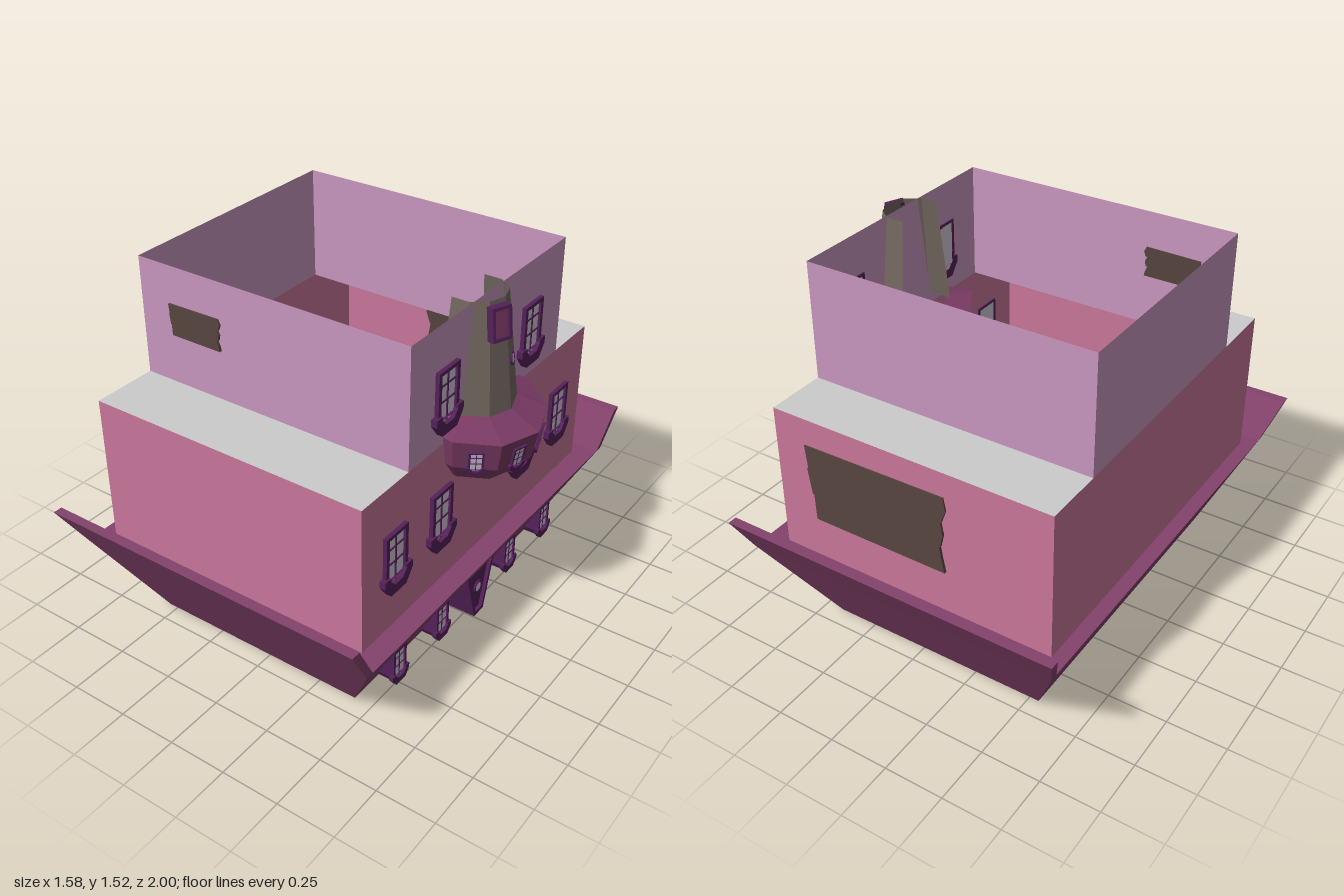
import * as THREE from 'three';

const mat = (color, side = THREE.FrontSide) =>
  new THREE.MeshStandardMaterial({ color, side, flatShading: true });
const M = {
  hull: mat(0x84426c), pink: mat(0xc8769a, THREE.DoubleSide), lilac: mat(0xc896be, THREE.DoubleSide),
  grey: mat(0xcccccc, THREE.DoubleSide), bowl: mat(0x7c3b66, THREE.DoubleSide),
  stone: mat(0x72665f, THREE.DoubleSide), frame: mat(0x55215a), glass: mat(0xd2c6d6), plank: mat(0x56443f),
};

function add(parent, name, geo, material, x = 0, y = 0, z = 0) {
  const m = new THREE.Mesh(geo, material);
  m.name = name;
  m.position.set(x, y, z);
  parent.add(m);
  return m;
}

// Skin through rings of [x,y,z], listed bottom to top, each anticlockwise from above
function loft(rings, { closed = true, caps = true } = {}) {
  const pos = [], n = rings[0].length;
  const tri = (a, b, c) => pos.push(...a, ...b, ...c);
  for (let r = 0; r + 1 < rings.length; r++) {
    const a = rings[r], b = rings[r + 1];
    for (let i = 0; i < (closed ? n : n - 1); i++) {
      const j = (i + 1) % n;
      tri(a[i], a[j], b[j]);
      tri(a[i], b[j], b[i]);
    }
  }
  if (closed && caps) {
    const lo = rings[0], hi = rings[rings.length - 1];
    for (let i = 1; i + 1 < n; i++) {
      tri(lo[0], lo[i + 1], lo[i]);
      tri(hi[0], hi[i], hi[i + 1]);
    }
  }
  const g = new THREE.BufferGeometry();
  g.setAttribute('position', new THREE.Float32BufferAttribute(pos, 3));
  g.computeVertexNormals();
  return g;
}

const rect = (x0, x1, z0, z1, y) => [[x1, y, z1], [x1, y, z0], [x0, y, z0], [x0, y, z1]];

function extrude(points, depth, hole) {
  const s = new THREE.Shape(points.map(p => new THREE.Vector2(...p)));
  if (hole) s.holes.push(new THREE.Path(hole.map(p => new THREE.Vector2(...p))));
  return new THREE.ExtrudeGeometry(s, { depth, bevelEnabled: false });
}

// Turn a part that faces +z so it faces outward at angle t around the tower
function face(obj, t = 0, lean = 0) {
  obj.rotation.order = 'YXZ';
  obj.rotation.set(lean, Math.PI / 2 + t, 0);
  return obj;
}

// Paned window with a faceted sill; origin at the top middle
function makeWindow(name, scale, housing = 0) {
  const g = new THREE.Group();
  g.name = name;
  const pane = [[-0.052, -0.012], [-0.052, -0.19], [-0.026, -0.222], [0.026, -0.222], [0.052, -0.19], [0.052, -0.012]];
  add(g, 'glass', extrude(pane, 0.012), M.glass);
  add(g, 'windowFrame', extrude([[-0.068, 0], [-0.068, -0.2], [0.068, -0.2], [0.068, 0]], 0.022,
    [[-0.05, -0.015], [0.05, -0.015], [0.05, -0.2 + 0.001], [-0.05, -0.2 + 0.001]]), M.frame);
  add(g, 'sill', extrude([[-0.088, -0.175], [-0.088, -0.205], [-0.048, -0.258], [0.048, -0.258], [0.088, -0.205],
    [0.088, -0.175], [0.05, -0.175], [0.05, -0.19], [0.025, -0.218], [-0.025, -0.218], [-0.05, -0.19], [-0.05, -0.175]],
  0.03), M.frame);
  add(g, 'mullion', new THREE.BoxGeometry(0.007, 0.2, 0.008), M.frame, 0, -0.115, 0.012);
  for (const y of [-0.065, -0.13])
    add(g, 'glazingBar', new THREE.BoxGeometry(0.1, 0.006, 0.008), M.frame, 0, y, 0.012);
  if (housing) {
    add(g, 'housing', extrude([[-0.068, 0], [-0.068, -0.2], [-0.04, -0.25], [0.04, -0.25], [0.068, -0.2], [0.068, 0]],
      housing), M.frame, 0, 0, -housing);
  }
  g.scale.setScalar(scale);
  return g;
}

function porthole(r) {
  const g = new THREE.Group();
  g.name = 'porthole';
  add(g, 'portholeRing', new THREE.TorusGeometry(r, r * 0.22, 6, 12), M.frame);
  add(g, 'portholeGlass', new THREE.CircleGeometry(r, 12), M.glass, 0, 0, 0.003);
  return g;
}

// Three ragged overlapping boards
function planks(name, w, h) {
  const g = new THREE.Group();
  g.name = name;
  const ends = [[0.5, 0.47, -0.5, -0.48], [0.48, 0.46, -0.49, -0.46], [0.47, 0.49, -0.45, -0.44]];
  ends.forEach(([rt, rb, lt, lb], i) => {
    const t = h * (0.5 - i / 3), b = t - h / 3, skew = i === 0 ? h * 0.03 : 0;
    const board = add(g, 'board', extrude([[lt * w, t - skew], [lb * w, b], [rb * w, b], [rt * w, (t + b) / 2], [rt * w - 0.01, t]],
      0.012), M.plank);
    board.rotation.x = -0.03;
  });
  return g;
}

export function createModel() {
  const model = new THREE.Group();
  model.name = 'houseBoat';
  const put = (obj, x, y, z) => { obj.position.set(x, y, z); model.add(obj); return obj; };

  // Hull with a raised lip at each end
  add(model, 'hull', loft([rect(-0.54, 0.42, -0.67, 0.67, 0), rect(-0.73, 0.64, -0.9, 0.9, 0.4)]), M.hull);
  add(model, 'frontLip', loft([rect(-0.73, 0.64, 0.865, 0.9, 0.4), rect(-0.79, 0.65, 0.96, 1, 0.57)]), M.hull);
  add(model, 'backLip', loft([rect(-0.73, 0.64, -0.9, -0.865, 0.4), rect(-0.79, 0.66, -1, -0.96, 0.57)]), M.hull);

  // Two open storeys and the flat roofs between them
  const walls = (z0, z1, y0, y1) => loft([rect(-0.67, 0.55, z0, z1, y0), rect(-0.67, 0.55, z0, z1, y1)], { caps: false });
  add(model, 'lowerWalls', walls(-0.8, 0.805, 0.4, 1.025), M.pink);
  add(model, 'upperWalls', walls(-0.545, 0.525, 1.025, 1.52), M.lilac);
  for (const [z0, z1] of [[-0.8, -0.545], [0.525, 0.805]]) {
    const roof = new THREE.PlaneGeometry(1.22, z1 - z0).rotateX(-Math.PI / 2);
    add(model, 'terraceRoof', roof, M.grey, -0.06, 1.025, (z0 + z1) / 2);
  }

  // Windows along the +x side
  for (const z of [0.3, -0.3]) put(face(makeWindow('upperWindow', 1)), 0.545, 1.345, z);
  for (const z of [0.61, 0.31, -0.29, -0.59]) put(face(makeWindow('lowerWindow', 1)), 0.545, 0.83, z);
  for (const z of [0.575, 0.275, -0.25, -0.55]) put(face(makeWindow('hullWindow', 0.62, 0.2)), 0.55, 0.26, z);

  // Tapered door jutting from the hull
  const door = face(new THREE.Group());
  door.name = 'door';
  add(door, 'doorBody', extrude([[-0.09, 0.265], [-0.03, 0.05], [0.03, 0.05], [0.09, 0.265]], 0.13), M.frame, 0, 0, -0.13);
  for (const s of [-1, 1]) {
    const post = [[s * 0.105, 0.3], [s * 0.035, 0.05], [s * 0.02, 0.05], [s * 0.08, 0.265]];
    add(door, 'doorPost', extrude(s < 0 ? post : post.reverse(), 0.14), M.frame, 0, 0, -0.125);
  }
  add(door, 'doorStep', new THREE.BoxGeometry(0.06, 0.015, 0.14), M.frame, 0, 0.0575, -0.055);
  const doorPort = porthole(0.024);
  doorPort.position.set(0, 0.18, 0.004);
  door.add(doorPort);
  put(door, 0.56, 0, 0.012);

  // Bay turret: part of a ten-sided bowl, tilted forward, under a tapering tower
  const cx = 0.5, cz = 0.03, step = Math.PI / 5;
  const arc = (r, y, tilt = 0) => [-3, -2, -1, 0, 1, 2, 3].map(i => {
    const dx = r * Math.cos(i * step);
    return [cx + dx, y - tilt * dx, cz - r * Math.sin(i * step)];
  });
  add(model, 'turretBowl', loft([arc(0.001, 0.775), arc(0.1, 0.79, 0.08), arc(0.2, 0.85, 0.13), arc(0.265, 0.935, 0.13),
    arc(0.29, 1.058, 0.13), arc(0.165, 1.09, 0.06)], { closed: false }), M.bowl);
  add(model, 'tower', loft([arc(0.17, 1.075), arc(0.117, 1.52)], { closed: false }), M.stone);

  const around = (obj, r, t, y, lean) =>
    put(face(obj, t, lean), cx + r * Math.cos(t), y, cz - r * Math.sin(t));
  for (const i of [-1.5, -0.5, 0.5, 1.5]) {
    const drop = 0.03 * Math.cos(i * step);
    around(makeWindow('turretWindow', 0.42), 0.272, i * step, 1.02 - drop, 0.2);
  }
  around(porthole(0.022), 0.143, step / 2, 1.26, -0.12);

  // Small projecting window near the tower top
  const dormer = new THREE.Group();
  dormer.name = 'towerWindow';
  const box = (w, h) => [[-w, -h], [w, -h], [w, h], [-w, h]];
  add(dormer, 'dormerFrame', extrude(box(0.042, 0.065), 0.035, box(0.03, 0.052)), M.frame);
  add(dormer, 'dormerPane', new THREE.BoxGeometry(0.062, 0.106, 0.02), M.bowl, 0, 0, 0.012);
  around(dormer, 0.122, -0.62 * step, 1.44, -0.12);

  // Boarded patches
  put(planks('frontBoards', 0.25, 0.13), -0.405, 1.302, 0.523);
  const back = planks('backBoards', 0.64, 0.33);
  back.rotation.y = Math.PI;
  put(back, 0.09, 0.755, -0.798);
  return model;
}
